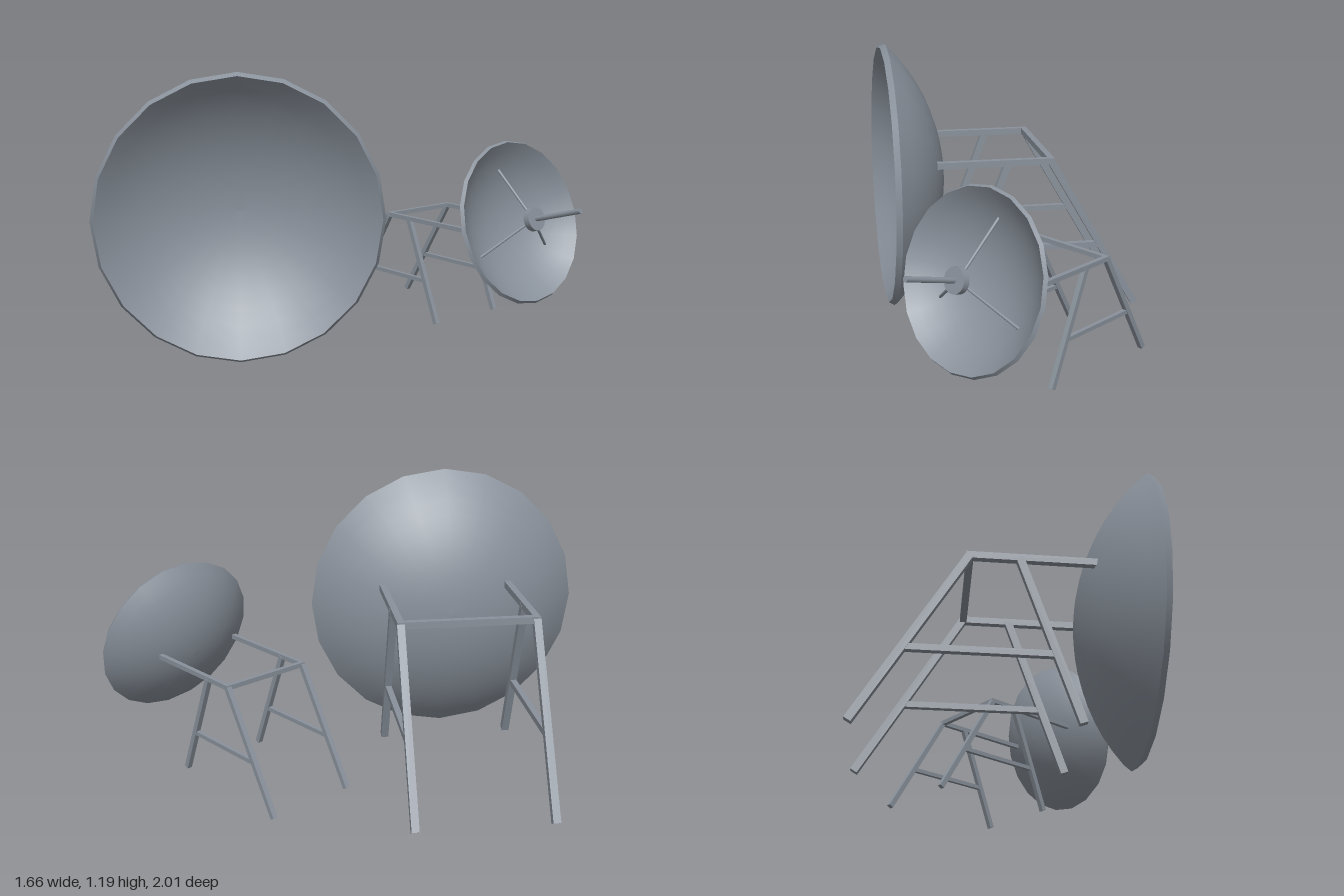
import * as THREE from 'three';

const V = (x, y, z) => new THREE.Vector3(x, y, z);

export function createModel() {
  const model = new THREE.Group();
  const steel = new THREE.MeshStandardMaterial({ color: 0x89919b });
  steel.name = 'grey steel';

  // Square bar between two points
  function bar(parent, name, a, b, size) {
    const mesh = new THREE.Mesh(new THREE.BoxGeometry(size, size, a.distanceTo(b)), steel);
    mesh.name = name;
    mesh.position.copy(a).add(b).multiplyScalar(0.5);
    mesh.lookAt(b);
    parent.add(mesh);
  }

  // Points along a spherical cap, from the centre out to the rim
  function cap(radius, depth, rimY, steps = 10) {
    const ball = (radius * radius + depth * depth) / (2 * depth);
    const points = [];
    for (let i = 0; i <= steps; i++) {
      const r = (radius * i) / steps;
      points.push(new THREE.Vector2(r, rimY + ball - depth - Math.sqrt(ball * ball - r * r)));
    }
    return points;
  }

  // Dish opening along local +y, with local +z pointing up the rim
  function dish(name, radius, center, normal) {
    const group = new THREE.Group();
    group.name = name;
    const n = normal.normalize();
    const up = V(0, 1, 0).addScaledVector(n, -n.y).normalize();
    const side = n.clone().cross(up);
    group.quaternion.setFromRotationMatrix(new THREE.Matrix4().makeBasis(side, n, up));
    group.position.copy(center);
    const back = cap(radius, radius * 0.415, 0);
    const bowl = cap(radius * 0.975, radius * 0.405, radius * 0.042);
    const lip = [back[back.length - 1], bowl[bowl.length - 1]];
    const shells = { dishBack: back, dishLip: lip, dishBowl: bowl.slice().reverse() };
    for (const [part, points] of Object.entries(shells)) {
      const mesh = new THREE.Mesh(new THREE.LatheGeometry(points, 20), steel);
      mesh.name = part;
      group.add(mesh);
    }
    model.add(group);
    return group;
  }

  // Trestle: two A-frames whose top beams run forward into the dish.
  // Distances are measured along "forward" from the rear corner of each frame.
  function stand(name, o) {
    const group = new THREE.Group();
    group.name = name;
    const corners = [o.corner, o.corner.clone().add(o.across)];
    for (const corner of corners) {
      const at = (s, y) => V(corner.x + o.forward.x * s, y, corner.z + o.forward.z * s);
      const topFront = at(o.frontTop, o.height), footFront = at(o.frontFoot, o.frontFootY);
      const topBack = at(0, o.height), footBack = at(o.backFoot, o.backFootY);
      const onLeg = (top, foot) => top.clone().lerp(foot, (top.y - o.braceY) / (top.y - foot.y));
      bar(group, 'topBeam', at(-o.size / 2, o.height), at(o.beam, o.height), o.size);
      bar(group, 'frontLeg', topFront, footFront, o.size * 1.1);
      bar(group, 'backLeg', topBack, footBack, o.size * 1.1);
      bar(group, 'sideBrace', onLeg(topFront, footFront), onLeg(topBack, footBack), o.size * 0.9);
    }
    corners.forEach((c) => { c.y = o.height; });
    bar(group, 'crossBeam', corners[0], corners[1], o.size);
    model.add(group);
  }

  // Large dish and its trestle
  dish('largeDish', 0.593, V(-0.445, 0.6, -0.105), V(-0.77, 0, 0.636));
  stand('largeStand', {
    corner: V(-0.08, 0, -0.73), across: V(0.35, 0, 0.42), forward: V(-0.77, 0, 0.636),
    height: 0.717, beam: 0.5, frontTop: 0.19, frontFoot: 0.43, backFoot: -0.405,
    frontFootY: 0.055, backFootY: 0.03, braceY: 0.322, size: 0.028,
  });

  // Small dish, tilted upward, and its trestle
  const small = dish('smallDish', 0.35, V(0.45, 0.543, 0.695), V(-0.26, 0.285, 0.92));
  stand('smallStand', {
    corner: V(0.39, 0, 0.08), across: V(0.355, 0, 0.095), forward: V(-0.25, 0, 0.968),
    height: 0.514, beam: 0.46, frontTop: 0.125, frontFoot: 0.305, backFoot: -0.265,
    frontFootY: 0.07, backFootY: 0.055, braceY: 0.25, size: 0.019,
  });

  // Receiver on the small dish: hub, rod and three struts
  function cylinder(name, radius, length, y, sides) {
    const mesh = new THREE.Mesh(new THREE.CylinderGeometry(radius, radius, length, sides), steel);
    mesh.name = name;
    mesh.position.y = y;
    small.add(mesh);
  }
  cylinder('receiverHub', 0.05, 0.028, 0.08, 20);
  cylinder('receiverRod', 0.011, 0.27, 0.195, 10);
  for (let i = 0; i < 3; i++) {
    const angle = (i * Math.PI * 2) / 3;
    const a = V(0, 0.075, 0), b = V(Math.sin(angle) * 0.237, -0.07, Math.cos(angle) * 0.237);
    const strut = new THREE.Mesh(new THREE.CylinderGeometry(0.006, 0.006, a.distanceTo(b), 8), steel);
    strut.name = 'receiverStrut';
    strut.position.copy(a).add(b).multiplyScalar(0.5);
    strut.quaternion.setFromUnitVectors(V(0, 1, 0), b.clone().sub(a).normalize());
    small.add(strut);
  }
  return model;
}
